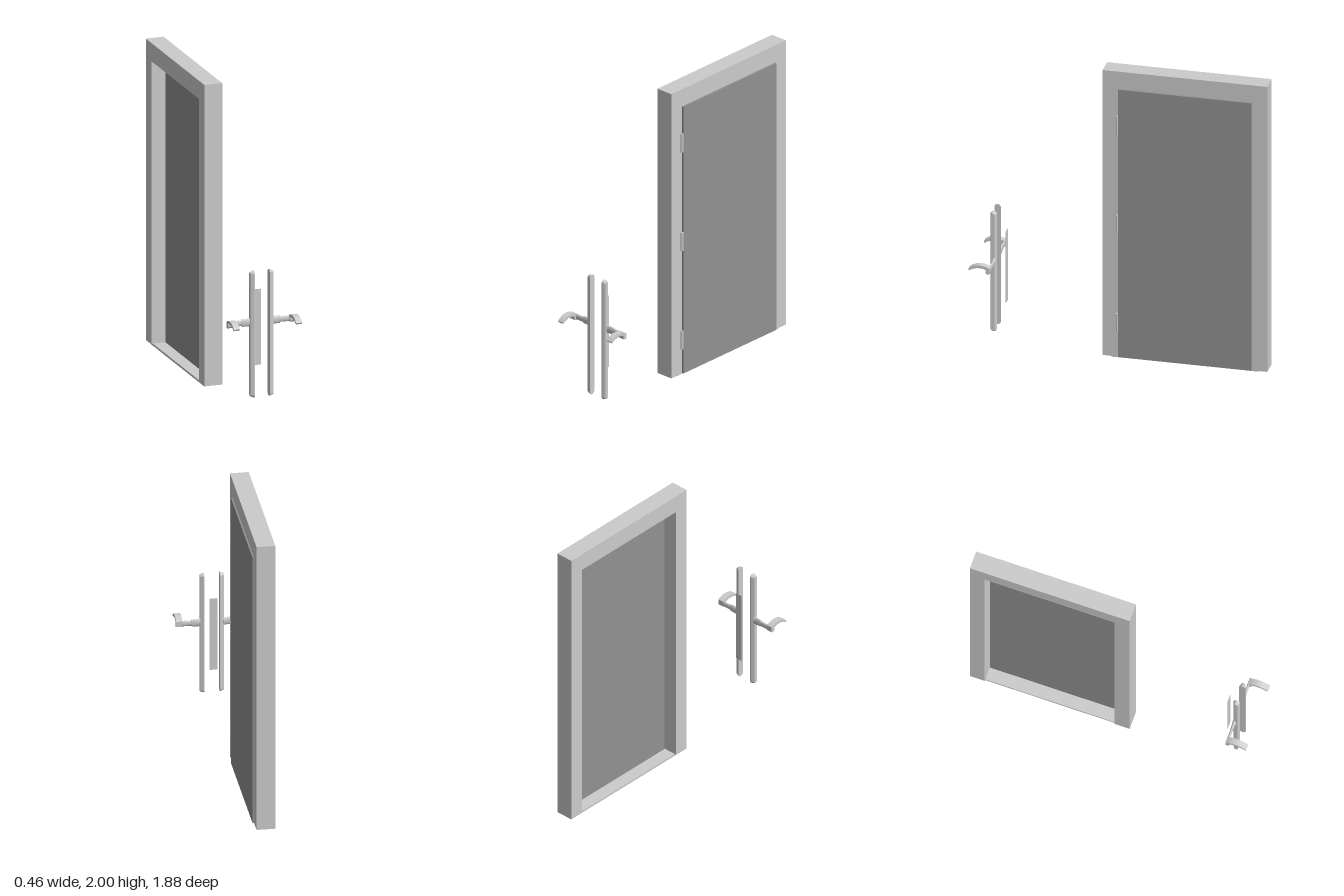
import * as THREE from 'three';

const grey = new THREE.MeshStandardMaterial({ color: 0xcccccc, side: THREE.DoubleSide });
const dark = new THREE.MeshStandardMaterial({ color: 0x919191 });

function add(parent, name, geometry, material = grey) {
  const mesh = new THREE.Mesh(geometry, material);
  mesh.name = name;
  parent.add(mesh);
  return mesh;
}

// Box given by its lower and upper limits
function box(x0, x1, y0, y1, z0, z1) {
  return new THREE.BoxGeometry(x1 - x0, y1 - y0, z1 - z0)
    .translate((x0 + x1) / 2, (y0 + y1) / 2, (z0 + z1) / 2);
}

// Extrudes a profile drawn in (z, y) between two x positions
function extrudeX(shape, x0, x1) {
  return new THREE.ExtrudeGeometry(shape, { depth: x1 - x0, bevelEnabled: false, curveSegments: 12 })
    .rotateY(-Math.PI / 2).translate(x1, 0, 0);
}

// Skins closed rings of points, all with the same count, and caps both ends
function loft(rings) {
  const n = rings[0].length;
  const pos = [];
  const quad = (a, b, c, d) => [a, b, c, a, c, d].forEach(p => pos.push(...p));
  for (let r = 0; r < rings.length - 1; r++)
    for (let i = 0; i < n; i++) {
      const j = (i + 1) % n;
      quad(rings[r][i], rings[r][j], rings[r + 1][j], rings[r + 1][i]);
    }
  const last = rings[rings.length - 1];
  for (let i = 1; i < n - 1; i++) {
    [rings[0][0], rings[0][i + 1], rings[0][i]].forEach(p => pos.push(...p));
    [last[0], last[i], last[i + 1]].forEach(p => pos.push(...p));
  }
  const geometry = new THREE.BufferGeometry();
  geometry.setAttribute('position', new THREE.Float32BufferAttribute(pos, 3));
  geometry.computeVertexNormals();
  return geometry;
}

// Oval ring facing x: semicircles of size (ry, rz) set apart by 2 * half in y
function ring(x, cy, cz, ry, rz, half = 0) {
  const pts = [];
  for (let i = 0; i < 24; i++) {
    const a = (i + 0.5) / 24 * Math.PI * 2;
    const s = Math.sin(a);
    pts.push([x, cy + s * ry + Math.sign(s) * half, cz - Math.cos(a) * rz]);
  }
  return pts.reverse();
}

function handle(name) {
  const group = new THREE.Group();
  group.name = name;

  // Long rounded back plate with a bevelled outer face
  const plate = [[0.05, 0], [0.056, 0], [0.07, 0.006], [0.077, 0.009]]
    .map(([x, inset]) => ring(x, 0.548, 0.822, 0.021 - inset, 0.021 - inset, 0.397));
  add(group, 'backPlate', loft(plate));

  // Stepped oval shaft
  const shaft = [[0.074, 0.026, 0.013], [0.084, 0.026, 0.011], [0.128, 0.025, 0.009],
    [0.13, 0.019, 0.008], [0.195, 0.019, 0.008]]
    .map(([x, ry, rz]) => ring(x, 0.625, 0.814, ry, rz));
  add(group, 'shaft', loft(shaft));

  // Arched grip, thick at the shaft and thin at the tip
  const grip = new THREE.Shape();
  grip.moveTo(0.807, 0.606);
  grip.lineTo(0.807, 0.643);
  grip.bezierCurveTo(0.85, 0.667, 0.905, 0.67, 0.945, 0.628);
  grip.lineTo(0.94, 0.618);
  grip.bezierCurveTo(0.905, 0.646, 0.865, 0.646, 0.834, 0.634);
  grip.quadraticCurveTo(0.836, 0.605, 0.82, 0.602);
  grip.closePath();
  add(group, 'grip', extrudeX(grip, 0.189, 0.23));
  return group;
}

export function createModel() {
  const model = new THREE.Group();
  model.name = 'doorSet';

  // Three-sided frame
  const outline = new THREE.Shape();
  [[-0.94, 0.01], [-0.84, 0.01], [-0.84, 1.88], [0.03, 1.88], [0.03, 0.01], [0.13, 0.01],
    [0.13, 2], [-0.94, 2]].forEach(([z, y], i) => i ? outline.lineTo(z, y) : outline.moveTo(z, y));
  outline.closePath();
  add(model, 'frame', extrudeX(outline, -0.13, -0.01));

  // Door leaf and threshold
  add(model, 'doorLeaf', box(-0.035, 0, 0.011, 1.878, -0.838, 0.028), dark);
  add(model, 'threshold', box(-0.12, -0.02, 0, 0.014, -0.885, 0.075));

  // Hinges: a knuckle barrel in two halves, with a leaf against the frame
  for (const y of [0.248, 0.937, 1.627]) {
    const hinge = new THREE.Group();
    hinge.name = 'hinge';
    hinge.position.set(-0.003, y, 0.034);
    for (const s of [-1, 1])
      add(hinge, 'knuckle', new THREE.CylinderGeometry(0.007, 0.007, 0.063, 12)).position.y = s * 0.032;
    add(hinge, 'hingeLeaf', box(-0.01, -0.003, -0.064, 0.064, -0.004, 0.011));
    model.add(hinge);
  }

  // Mirrored pair of handles and the thin lock plate between them
  for (const side of [1, -1]) {
    const h = handle(side > 0 ? 'leftHandle' : 'rightHandle');
    h.scale.x = side;
    h.position.x = -0.003;
    model.add(h);
  }
  add(model, 'lockPlate', box(-0.027, 0.022, 0.318, 0.818, 0.749, 0.751));

  return model;
}
